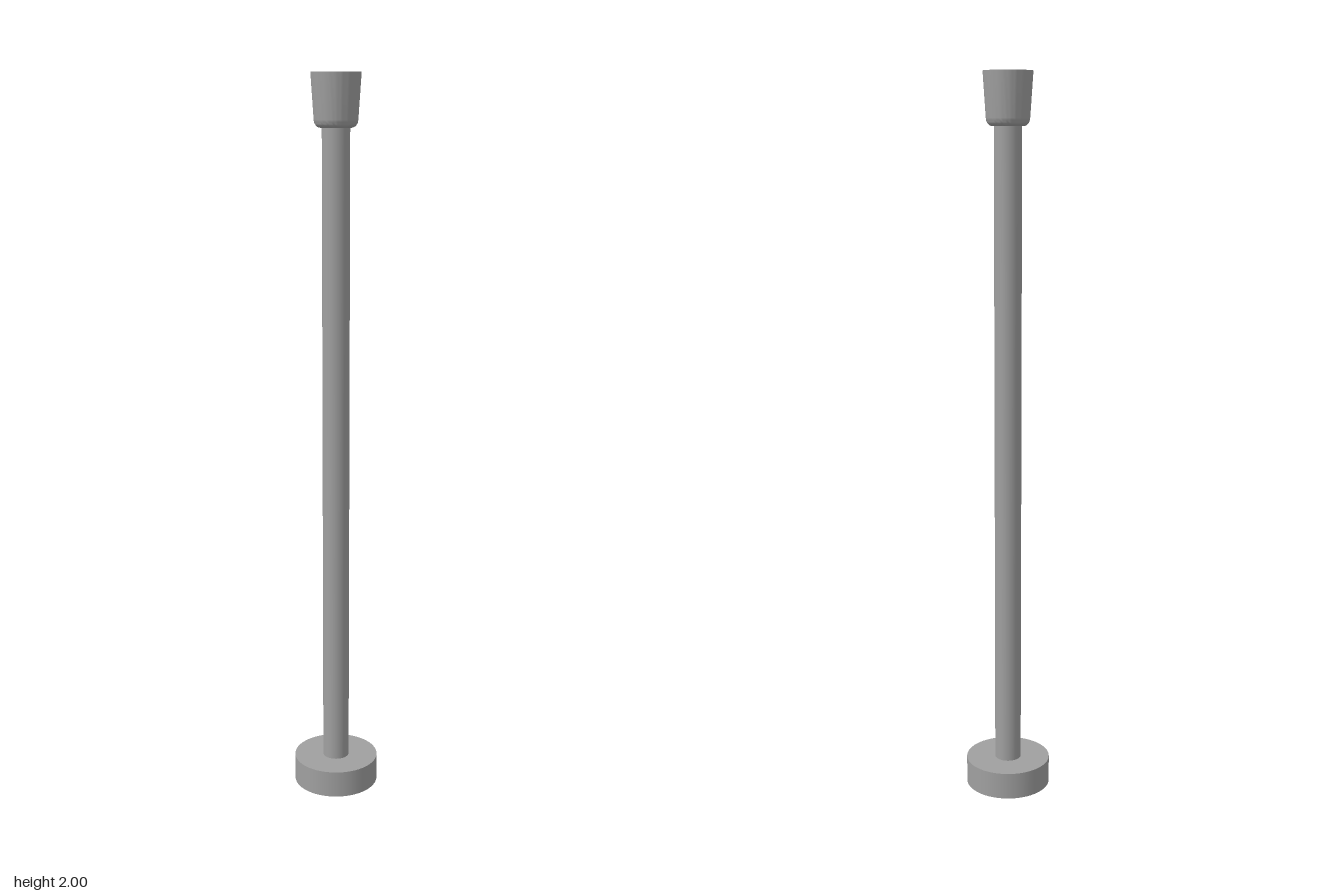
import * as THREE from 'three';
import { toCreasedNormals } from 'three/addons/utils/BufferGeometryUtils.js';

export function createModel() {
  const model = new THREE.Group();
  const steel = new THREE.MeshStandardMaterial({ color: 0xa0a0a0 });
  steel.name = 'steel grey';

  const add = (name, geometry, y = 0) => {
    const mesh = new THREE.Mesh(geometry, steel);
    mesh.name = name;
    mesh.position.y = y;
    model.add(mesh);
  };

  // Round foot and pole
  add('base', new THREE.CylinderGeometry(0.119, 0.119, 0.076, 64), 0.038);
  add('pole', new THREE.CylinderGeometry(0.037, 0.037, 1.8, 48), 0.97);

  // Tapered cup with a rounded lower edge, hollow from above
  const profile = [[0, 1.86], [0.04, 1.86]];
  for (let i = 0; i <= 6; i++) {
    const a = (i / 6) * Math.PI / 2;
    profile.push([0.04 + 0.018 * Math.sin(a), 1.881 - 0.021 * Math.cos(a)]);
  }
  profile.push([0.066, 2], [0.059, 2], [0.052, 1.9], [0, 1.9]);
  const cup = new THREE.LatheGeometry(profile.map(([x, y]) => new THREE.Vector2(x, y)), 64);
  add('cup', toCreasedNormals(cup, 0.6));

  // Thin wall across the cup, tapered to follow its sides
  const wall = new THREE.Shape([[-0.054, 1.895], [0.054, 1.895], [0.061, 2], [-0.061, 2]]
    .map(([x, y]) => new THREE.Vector2(x, y)));
  const divider = new THREE.ExtrudeGeometry(wall, { depth: 0.012, bevelEnabled: false });
  divider.translate(0, 0, -0.006);
  add('divider', divider);

  return model;
}
